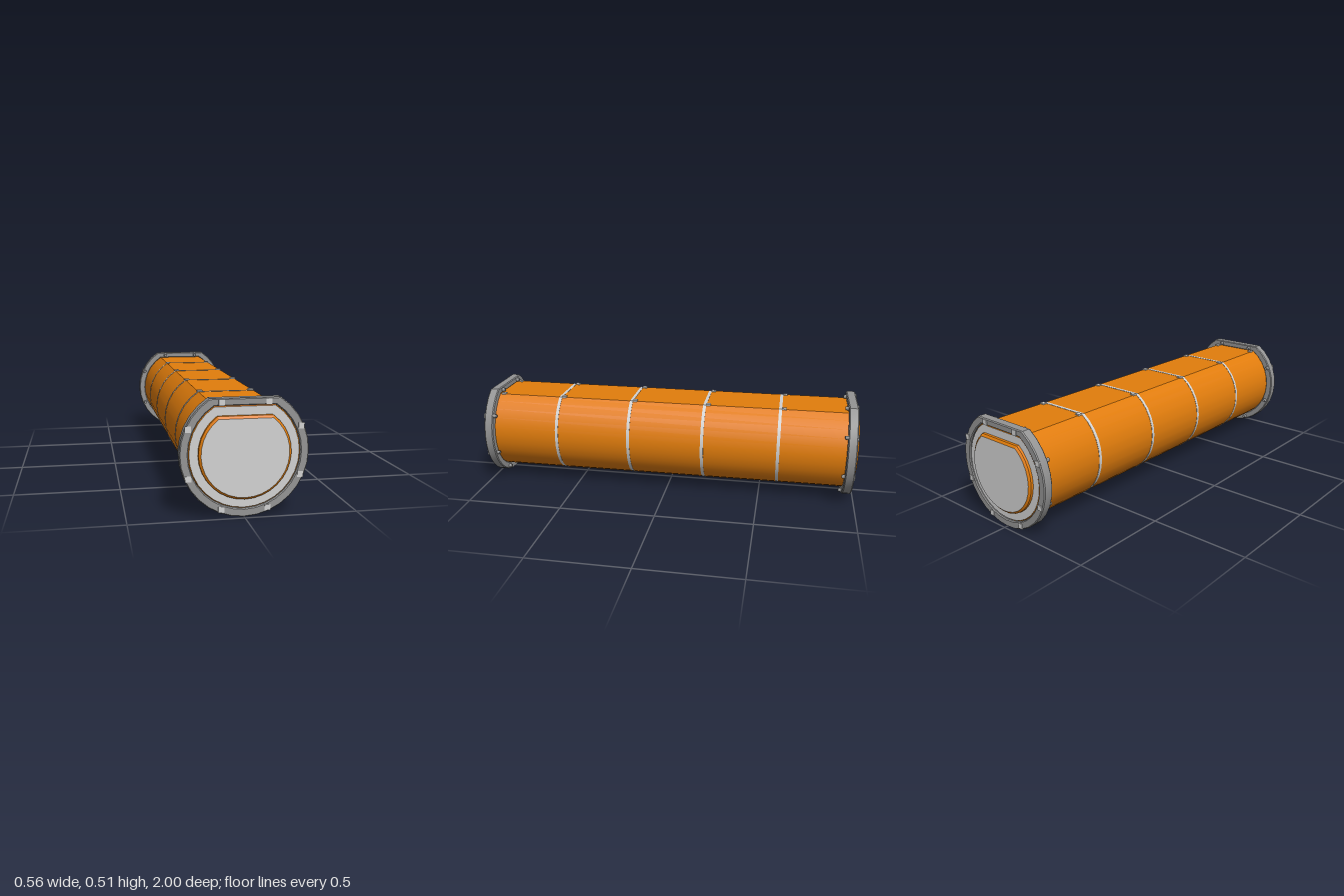
import * as THREE from 'three';
import { toCreasedNormals } from 'three/addons/utils/BufferGeometryUtils.js';

const N = 26, CY = 0.28;
const orange = new THREE.MeshStandardMaterial({ name: 'orange paint', color: 0xe27d0c });
const light = new THREE.MeshStandardMaterial({ name: 'light grey', color: 0xd2d2d2 });
const grey = new THREE.MeshStandardMaterial({ name: 'flange grey', color: 0x949494 });

// Circle outline of radius r, cut flat at height f above its centre
function outline(r, f) {
  const a = Math.asin(f / r), pts = [];
  for (let i = 0; i <= N; i++) {
    const t = Math.PI - a + (Math.PI + 2 * a) * i / N;
    pts.push(new THREE.Vector2(r * Math.cos(t), r * Math.sin(t)));
  }
  return pts;
}

// Side wall through sections [r, flat, z], listed from back to front
function loft(sections) {
  const pos = [], idx = [], n = N + 1;
  for (const [r, f, z] of sections) for (const p of outline(r, f)) pos.push(p.x, p.y, z);
  for (let s = 0; s < sections.length - 1; s++) {
    for (let i = 0; i < n; i++) {
      const a = s * n + i, b = s * n + (i + 1) % n;
      idx.push(a, b, b + n, a, b + n, a + n);
    }
  }
  const g = new THREE.BufferGeometry();
  g.setAttribute('position', new THREE.Float32BufferAttribute(pos, 3));
  g.setIndex(idx);
  return toCreasedNormals(g, 0.4);
}

function add(parent, name, geo, mat, x = 0, y = 0, z = 0) {
  const m = new THREE.Mesh(geo, mat);
  m.name = name;
  m.position.set(x, y, z);
  parent.add(m);
  return m;
}

function makeEnd() {
  const end = new THREE.Group();
  // Bevelled flange with an opening for the tube
  const shape = new THREE.Shape(outline(0.28, 0.235));
  shape.holes.push(new THREE.Path(outline(0.2425, 0.2035)));
  const flange = new THREE.ExtrudeGeometry(shape, {
    depth: 0.038, bevelEnabled: true, bevelSegments: 1,
    bevelSize: 0.004, bevelThickness: 0.005, bevelOffset: -0.004,
  });
  add(end, 'flange', toCreasedNormals(flange, 0.4), grey, 0, 0, 0.943);
  // End face and raised cover
  add(end, 'endFace', new THREE.ShapeGeometry(new THREE.Shape(outline(0.238, 0.199))), light, 0, 0, 0.98);
  add(end, 'coverRim', loft([[0.201, 0.162, 0.975], [0.2, 0.161, 0.992], [0.19, 0.15, 1]]), orange);
  add(end, 'coverFace', new THREE.ShapeGeometry(new THREE.Shape(outline(0.19, 0.15))), light, 0, 0, 1);
  // Bolts: square plates in front, stubs behind
  const plate = new THREE.BoxGeometry(0.026, 0.026, 0.006);
  const stub = new THREE.CylinderGeometry(0.012, 0.009, 0.018, 8).rotateX(Math.PI / 2);
  for (const [x, y] of [[0.101, 0.218], [0.243, 0.11], [0.242, -0.102], [0.101, -0.242]]) {
    for (const s of [-1, 1]) {
      add(end, 'boltPlate', plate, light, s * x, y, 0.9865);
      add(end, 'boltStub', stub, grey, s * x, y, 0.931);
    }
  }
  return end;
}

export function createModel() {
  const model = new THREE.Group();
  const tube = new THREE.Group();
  tube.name = 'container';
  tube.position.y = CY;
  model.add(tube);

  add(tube, 'body', loft([
    [0.238, 0.199, -0.98], [0.242, 0.203, -0.975], [0.242, 0.203, 0.975], [0.238, 0.199, 0.98],
  ]), orange);

  // Bands around the body
  const band = loft([[0.2415, 0.2025, -0.008], [0.2435, 0.2045, -0.008], [0.2435, 0.2045, 0.008], [0.2415, 0.2025, 0.008]]);
  const zs = [0.59, 0.195, -0.2, -0.595];
  for (const z of zs) add(tube, 'band', band, light, 0, 0, z);

  // Small clips on the flat top
  const clip = new THREE.BoxGeometry(0.024, 0.008, 0.024);
  for (const z of [0.938, ...zs]) {
    for (const s of [-1, 1]) add(tube, 'clip', clip, light, s * 0.123, 0.204, z - 0.019);
  }

  // Identical ends, front and back
  for (const [name, turn] of [['frontEnd', 0], ['backEnd', Math.PI]]) {
    const end = makeEnd();
    end.name = name;
    end.rotation.y = turn;
    tube.add(end);
  }
  return model;
}
